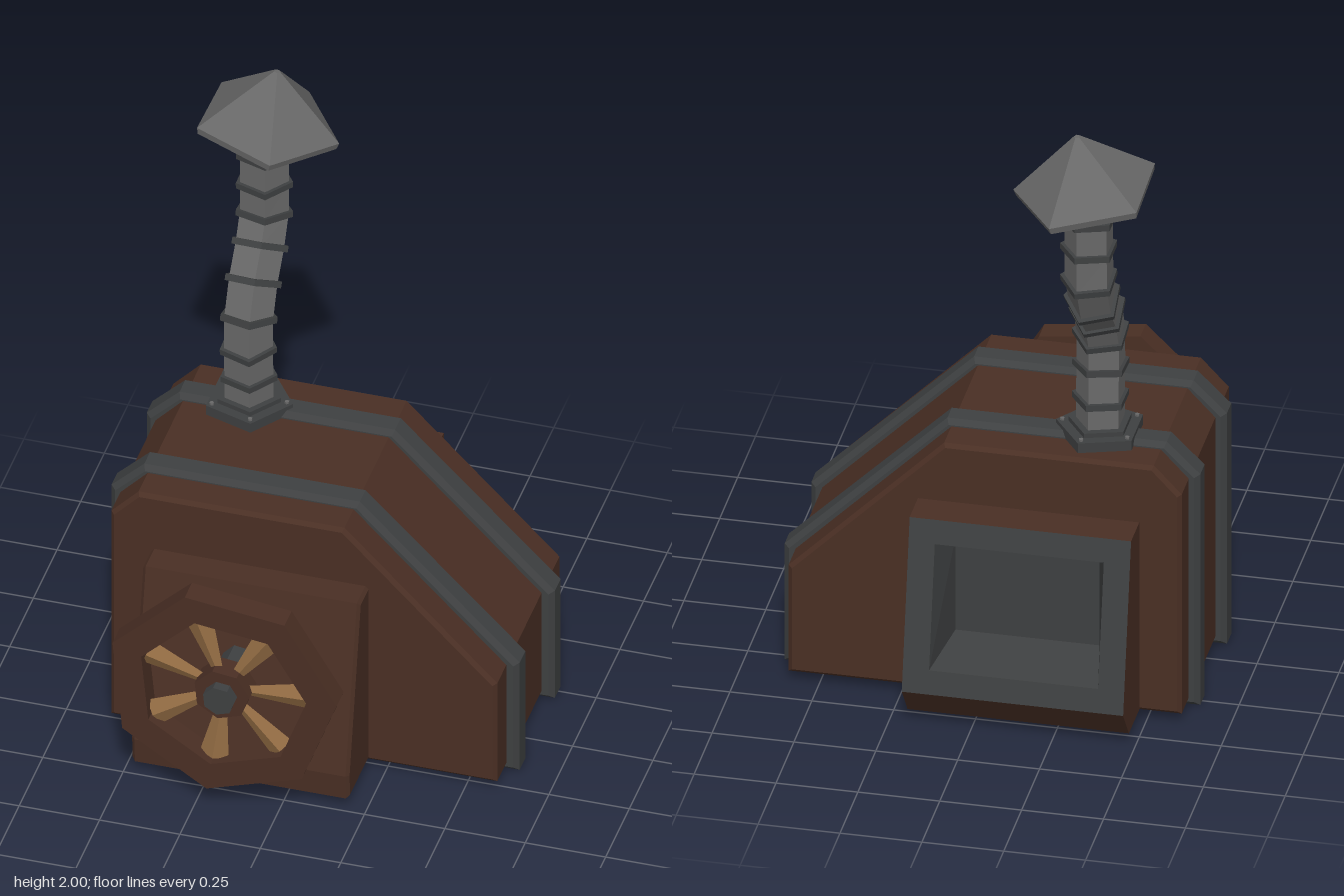
import * as THREE from 'three';

const mat = (name, color) => {
  const m = new THREE.MeshStandardMaterial({ color });
  m.name = name;
  return m;
};

export function createModel() {
  const model = new THREE.Group();
  const brown = mat('dark brown', 0x4a2f24);
  const iron = mat('dark iron', 0x3e4041);
  const steel = mat('grey steel', 0x686868);
  const brass = mat('dull brass', 0x946d44);

  const add = (name, geometry, material, parent = model) => {
    const mesh = new THREE.Mesh(geometry, material);
    mesh.name = name;
    parent.add(mesh);
    return mesh;
  };
  const flat = (g) => {
    const f = g.index ? g.toNonIndexed() : g;
    f.computeVertexNormals();
    return f;
  };
  // Extrusion centred on z = 0 whose bevel stays inside the outline
  const slab = (points, depth, bevel = 0, hole = null) => {
    const shape = new THREE.Shape(points.map(([x, y]) => new THREE.Vector2(x, y)));
    if (hole) shape.holes.push(new THREE.Path(hole.map(([x, y]) => new THREE.Vector2(x, y))));
    const g = new THREE.ExtrudeGeometry(shape, {
      depth: depth - 2 * bevel, bevelEnabled: bevel > 0, bevelSegments: 1,
      bevelSize: bevel, bevelThickness: bevel, bevelOffset: -bevel,
    });
    return g.translate(0, 0, -depth / 2 + bevel);
  };
  const polygon = (sides, r, start) => Array.from({ length: sides }, (_, i) => {
    const a = start + (i / sides) * Math.PI * 2;
    return [r * Math.cos(a), r * Math.sin(a)];
  });

  // Main body and the two iron bands around it
  const bodyOutline = [[-0.605, 0.03], [0.595, 0.03], [0.595, 0.395], [0.12, 0.875], [-0.52, 0.875], [-0.605, 0.785]];
  add('body', slab(bodyOutline, 0.68, 0.012), brown).position.z = -0.06;
  const bandOutline = [[-0.637, 0], [0.632, 0], [0.632, 0.4], [0.135, 0.895], [-0.535, 0.895], [-0.637, 0.795]];
  for (const z of [0.127, -0.245]) add('band', slab(bandOutline, 0.092, 0.016), iron).position.z = z;

  // Front housing, tapering towards the top
  const midX = -0.14, halfX = 0.338;
  const housing = slab([[0.2, 0.035], [0.485, 0.035], [0.49, 0.12], [0.37, 0.68], [0.2, 0.68]], halfX * 2, 0.01);
  add('frontHousing', housing.rotateY(-Math.PI / 2), brown).position.x = midX;

  // Rear hopper, lofted through rectangular loops
  const loop = (half, yLow, zLow, yHigh, zHigh) => [
    [midX - half, yLow, zLow], [midX - half, yHigh, zHigh],
    [midX + half, yHigh, zHigh], [midX + half, yLow, zLow]];
  const loft = (loops, cap) => {
    const p = [];
    const quad = (a, b, c, d) => p.push(...a, ...b, ...c, ...a, ...c, ...d);
    for (let k = 0; k + 1 < loops.length; k++) {
      for (let i = 0; i < 4; i++) {
        const j = (i + 1) % 4;
        quad(loops[k + 1][i], loops[k][i], loops[k][j], loops[k + 1][j]);
      }
    }
    if (cap) quad(...loops[loops.length - 1]);
    const g = new THREE.BufferGeometry();
    g.setAttribute('position', new THREE.Float32BufferAttribute(p, 3));
    g.computeVertexNormals();
    return g;
  };
  const slope = (y) => -0.515 - (0.68 - y) * 0.204;
  const mouth = loop(halfX, 0.14, slope(0.14), 0.68, slope(0.68));
  add('rearHopper', loft([
    loop(halfX, 0.035, -0.38, 0.68, -0.38),
    loop(halfX, 0.035, -0.545, 0.68, slope(0.68)),
    mouth], false), brown);
  add('hopperMouth', loft([
    mouth,
    loop(0.258, 0.215, slope(0.215), 0.605, slope(0.605)),
    loop(0.22, 0.25, -0.415, 0.57, -0.415)], true), iron);

  // Seven-sided wheel on the front
  const wheel = new THREE.Group();
  wheel.name = 'wheel';
  wheel.position.set(-0.165, 0.43, 0.565);
  model.add(wheel);
  const turn = 0.096;
  add('wheelRim', slab(polygon(7, 0.36, turn), 0.076, 0, polygon(7, 0.265, turn)), brown, wheel);
  add('wheelHub', slab(polygon(7, 0.088, turn), 0.076), brown, wheel);
  add('shaft', slab(polygon(7, 0.05, turn), 0.23), iron, wheel).position.z = -0.045;
  const spokeShape = flat(new THREE.CylinderGeometry(0.045, 0.016, 0.19, 4)
    .scale(1, 1, 0.5).translate(0, 0.16, 0));
  for (let i = 0; i < 7; i++) {
    add('spoke', spokeShape, brass, wheel).rotation.z = turn + (i / 7) * Math.PI * 2 - Math.PI / 2;
  }

  // Bent five-sided chimney pipe with evenly spaced rings
  const pipeX = -0.325;
  const path = new THREE.CatmullRomCurve3([
    [0.89, -0.235], [1.05, -0.23], [1.2, -0.225], [1.31, -0.27],
    [1.4, -0.345], [1.48, -0.39], [1.62, -0.395], [1.82, -0.395],
  ].map(([y, z]) => new THREE.Vector3(pipeX, y, z)));
  add('pipe', flat(new THREE.TubeGeometry(path, 9, 0.077, 5)), steel);
  const disc = (r, h) => flat(new THREE.CylinderGeometry(r, r, h, 5).rotateY(Math.PI / 2));
  const ringShape = disc(0.09, 0.02);
  const up = new THREE.Vector3(0, 1, 0);
  for (let i = 1; i < 9; i++) {
    const ring = add('pipeRing', ringShape, iron);
    ring.position.copy(path.getPointAt(i / 9));
    ring.quaternion.setFromUnitVectors(up, path.getTangentAt(i / 9));
  }

  // Stepped flange with bolts where the pipe meets the body
  add('flange', disc(0.137, 0.04), iron).position.set(pipeX, 0.888, -0.235);
  add('flangeCollar', disc(0.1, 0.03), iron).position.set(pipeX, 0.908, -0.235);
  const boltShape = flat(new THREE.CylinderGeometry(0.007, 0.007, 0.008, 6));
  for (const [x, z] of polygon(5, 0.118, 0)) {
    add('flangeBolt', boltShape, steel).position.set(pipeX + x, 0.911, -0.235 + z);
  }

  // Tilted rain cap, hollow underneath
  const capProfile = [[0, 0.06], [0.185, 0], [0.22, 0], [0.226, 0.022], [0.01, 0.21], [0, 0.21]]
    .map(([r, y]) => new THREE.Vector2(r, y));
  const cap = add('rainCap', flat(new THREE.LatheGeometry(capProfile, 5, Math.PI / 2)), steel);
  cap.position.set(-0.32, 1.79, -0.4);
  cap.quaternion.setFromUnitVectors(up, new THREE.Vector3(0.14, 1, -0.08).normalize());

  return model;
}
